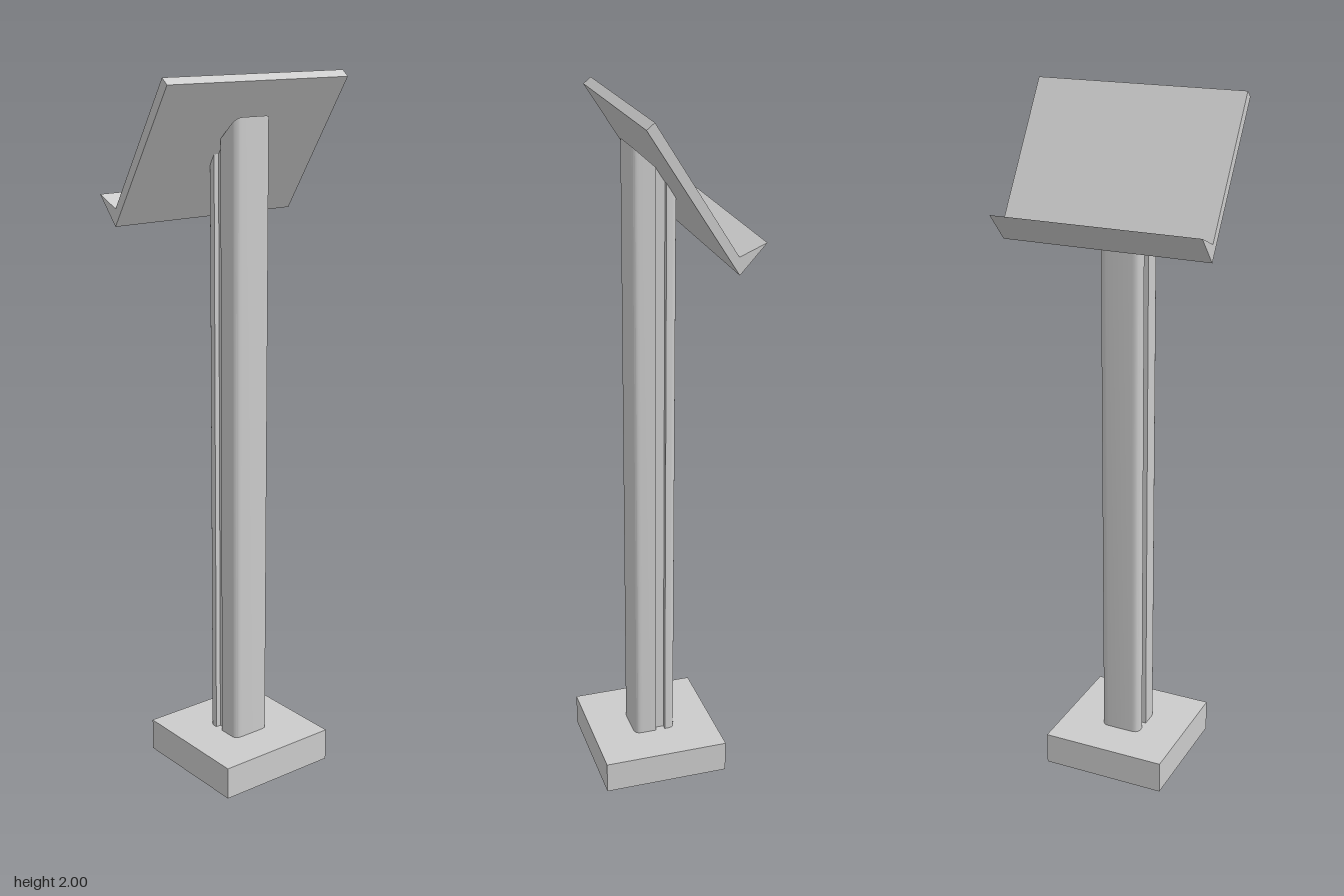
import * as THREE from 'three';
import { toCreasedNormals } from 'three/addons/utils/BufferGeometryUtils.js';

const grey = new THREE.MeshStandardMaterial({ color: 0xcccccc });

function part(name, geometry) {
  const mesh = new THREE.Mesh(geometry, grey);
  mesh.name = name;
  return mesh;
}

// Post section in plan: rounded square with a shallow channel down each side.
function postSection() {
  const x = 0.06, front = 0.08, back = -0.045, r = 0.022, groove = 0.014, depth = 0.015;
  const s = new THREE.Shape(); // shape y is -z
  s.moveTo(-x + r, -front);
  s.lineTo(x - r, -front);
  s.quadraticCurveTo(x, -front, x, -front + r);
  s.lineTo(x, -groove);
  s.lineTo(x - depth, -groove);
  s.lineTo(x - depth, groove);
  s.lineTo(x, groove);
  s.lineTo(x, -back - r);
  s.quadraticCurveTo(x, -back, x - r, -back);
  s.lineTo(-x + r, -back);
  s.quadraticCurveTo(-x, -back, -x, -back - r);
  s.lineTo(-x, groove);
  s.lineTo(-x + depth, groove);
  s.lineTo(-x + depth, -groove);
  s.lineTo(-x, -groove);
  s.lineTo(-x, -front + r);
  s.quadraticCurveTo(-x, -front, -x + r, -front);
  return s;
}

function postGeometry() {
  const g = new THREE.ExtrudeGeometry(postSection(), { depth: 1, bevelEnabled: false, curveSegments: 6 });
  g.rotateX(-Math.PI / 2);
  // Bottom sits on the base, top is cut on a slope to meet the desk.
  const p = g.attributes.position;
  for (let i = 0; i < p.count; i++) {
    p.setY(i, p.getY(i) > 0.5 ? 1.89 + 0.9 * (p.getZ(i) - 0.08) : 0.09);
  }
  return toCreasedNormals(g, 0.6);
}

// Sloping desk with a wedge-shaped lip, one profile drawn in (z, y).
function deskGeometry() {
  const profile = [[0.111, 1.983], [0.09, 2], [-0.13, 1.652], [-0.203, 1.683], [-0.132, 1.604]];
  const shape = new THREE.Shape(profile.map(([z, y]) => new THREE.Vector2(-z, y)));
  const g = new THREE.ExtrudeGeometry(shape, { depth: 0.6, bevelEnabled: false });
  g.translate(0, 0, -0.3);
  g.rotateY(Math.PI / 2);
  return g;
}

export function createModel() {
  const model = new THREE.Group();
  model.name = 'lectern';

  const base = part('base', new THREE.BoxGeometry(0.37, 0.095, 0.37));
  base.position.set(0, 0.0475, 0.0175);

  model.add(base, part('post', postGeometry()), part('readingDesk', deskGeometry()));
  return model;
}
